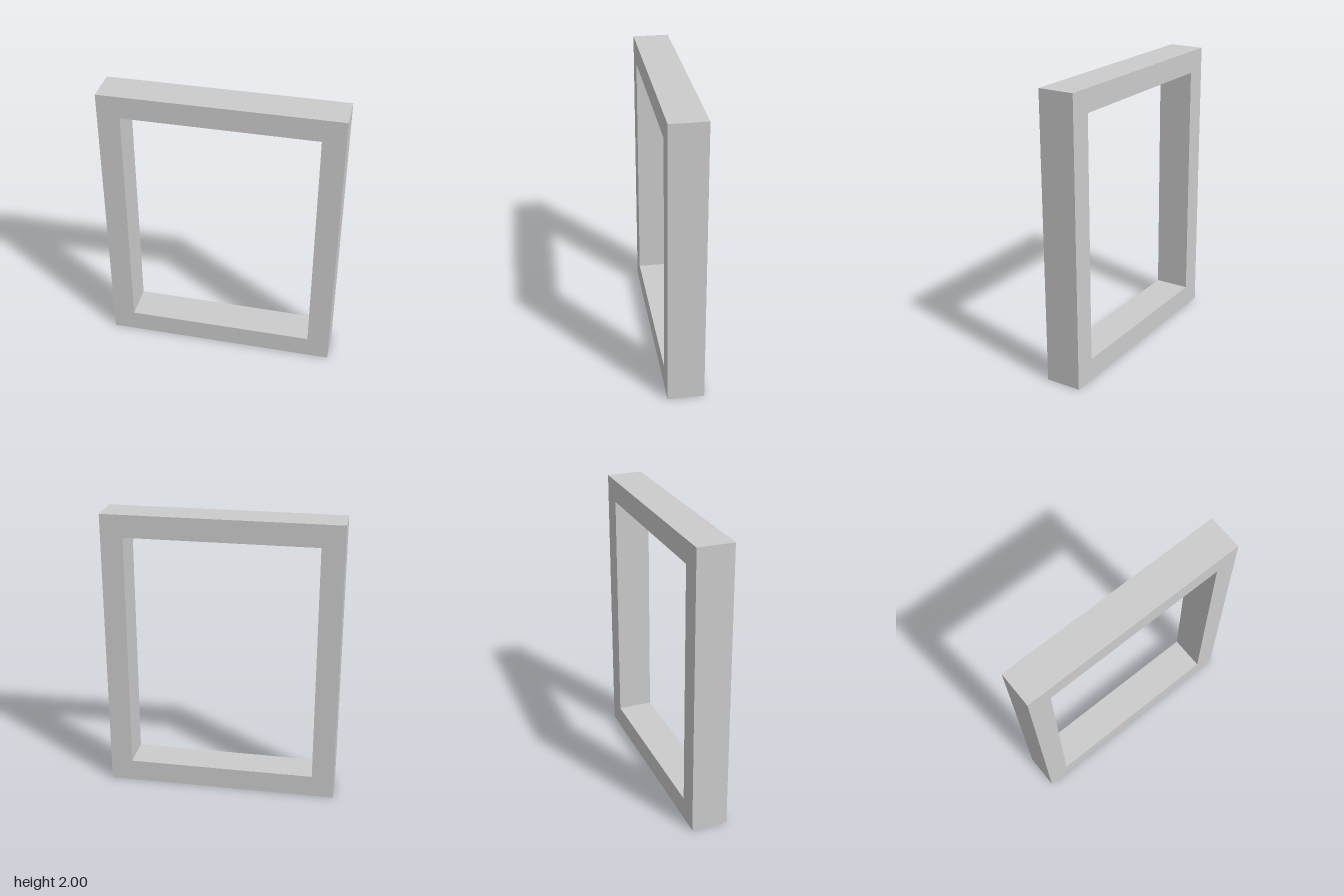
import * as THREE from 'three';

const WIDTH = 1.625, HEIGHT = 2, DEPTH = 0.25, BORDER = 0.155;

// Closed rectangle, centred on x, from height y0 to y1
function rectangle(Type, halfWidth, y0, y1) {
  return new Type([
    new THREE.Vector2(-halfWidth, y0),
    new THREE.Vector2(halfWidth, y0),
    new THREE.Vector2(halfWidth, y1),
    new THREE.Vector2(-halfWidth, y1),
  ]);
}

export function createModel() {
  const group = new THREE.Group();
  group.name = 'rectangularFrame';

  // Square-edged frame with one open rectangular window
  const outline = rectangle(THREE.Shape, WIDTH / 2, 0, HEIGHT);
  outline.holes.push(rectangle(THREE.Path, WIDTH / 2 - BORDER, BORDER, HEIGHT - BORDER));
  const geometry = new THREE.ExtrudeGeometry(outline, { depth: DEPTH, bevelEnabled: false });
  geometry.translate(0, 0, -DEPTH / 2);

  const frame = new THREE.Mesh(geometry, new THREE.MeshStandardMaterial({ color: 0xcccccc }));
  frame.name = 'frame';
  group.add(frame);
  return group;
}
